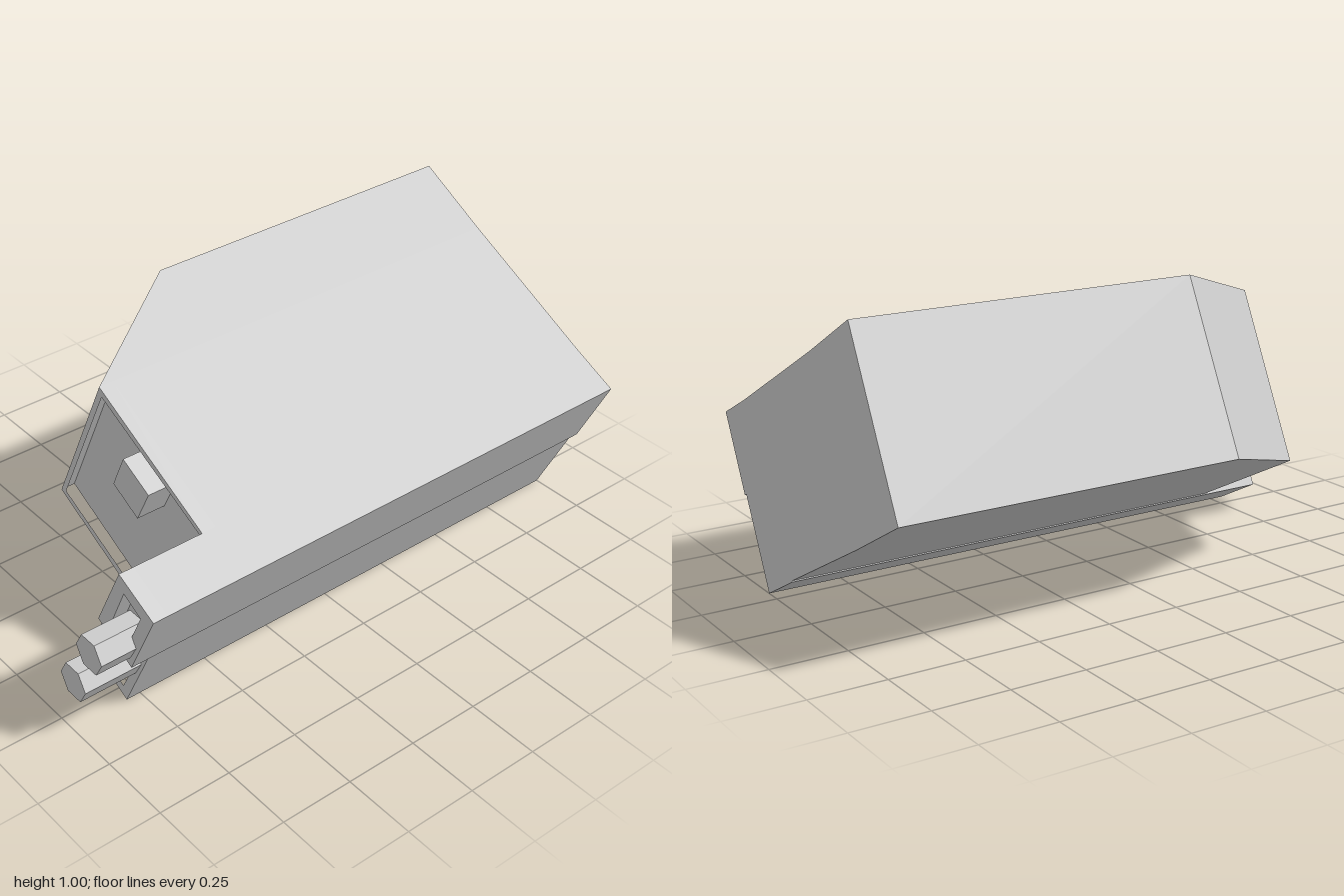
import * as THREE from 'three';

const material = new THREE.MeshStandardMaterial({ color: 0xcccccc, flatShading: true });
const RECESS = 0.05;

const toPoints = (list) => list.map(([x, y]) => new THREE.Vector2(x, y));

// Flat outline in xy, extruded from z0 to z1, with an optional opening
function prism(name, outline, z0, z1, hole) {
  const shape = new THREE.Shape(toPoints(outline));
  if (hole) shape.holes.push(new THREE.Path(toPoints(hole)));
  const geometry = new THREE.ExtrudeGeometry(shape, { depth: z1 - z0, bevelEnabled: false });
  geometry.translate(0, 0, z0);
  const mesh = new THREE.Mesh(geometry, material);
  mesh.name = name;
  return mesh;
}

function hexagon(cx, cy, r) {
  return Array.from({ length: 6 }, (_, i) => {
    const a = (i * Math.PI) / 3;
    return [cx + r * Math.cos(a), cy + r * Math.sin(a)];
  });
}

export function createModel() {
  const model = new THREE.Group();
  model.name = 'tiltedHousing';

  // Side body, its front face sloping back towards the outer edge
  const side = prism('slopedSideBody',
    [[-0.587, 0.473], [-0.324, 1.0], [-0.07, 0.862], [-0.33, 0.334]], -1, 0.585);
  const p = side.geometry.attributes.position;
  for (let i = 0; i < p.count; i++) {
    const across = p.getX(i) * 0.894 - p.getY(i) * 0.447;
    if (p.getZ(i) > 0 && across < -0.6) p.setZ(i, 0.165);
  }
  side.geometry.computeVertexNormals();
  model.add(side);

  // Middle body with a framed, recessed front panel and a square knob
  const middle = [[-0.07, 0.862], [0.426, 0.608], [0.163, 0.08], [-0.33, 0.334]];
  const panel = [[-0.06, 0.831], [0.413, 0.595], [0.172, 0.108], [-0.302, 0.344]];
  model.add(prism('middleBody', middle, -1, 0.585 - RECESS));
  model.add(prism('panelFrame', middle, 0.585 - RECESS, 0.585, panel));
  model.add(prism('squareKnob',
    [[0.112, 0.721], [0.235, 0.658], [0.172, 0.536], [0.053, 0.598]], 0.585 - RECESS, 0.635));

  // Upper block, its front recess open at the bottom
  const [tl, tr, br, bl] = [[0.426, 0.608], [0.586, 0.532], [0.464, 0.284], [0.304, 0.366]];
  model.add(prism('upperBlock', [tl, tr, br, bl], -1, 0.88 - RECESS));
  model.add(prism('upperBlockRim',
    [tl, bl, [0.348, 0.343], [0.445, 0.548], [0.523, 0.507], [0.423, 0.305], br, tr],
    0.88 - RECESS, 0.88));

  // Lower block, slightly shorter
  const lower = [[0.3, 0.441], [0.482, 0.35], [0.308, 0], [0.125, 0.095]];
  const lowerHole = [[0.307, 0.375], [0.432, 0.312], [0.294, 0.048], [0.172, 0.111]];
  model.add(prism('lowerBlock', lower, -1, 0.8 - RECESS));
  model.add(prism('lowerBlockRim', lower, 0.8 - RECESS, 0.8, lowerHole));

  // Hexagonal pegs
  model.add(prism('upperPeg', hexagon(0.429, 0.376, 0.064), 0.88 - RECESS, 1));
  model.add(prism('lowerPeg', hexagon(0.332, 0.203, 0.064), 0.8 - RECESS, 1));

  return model;
}
